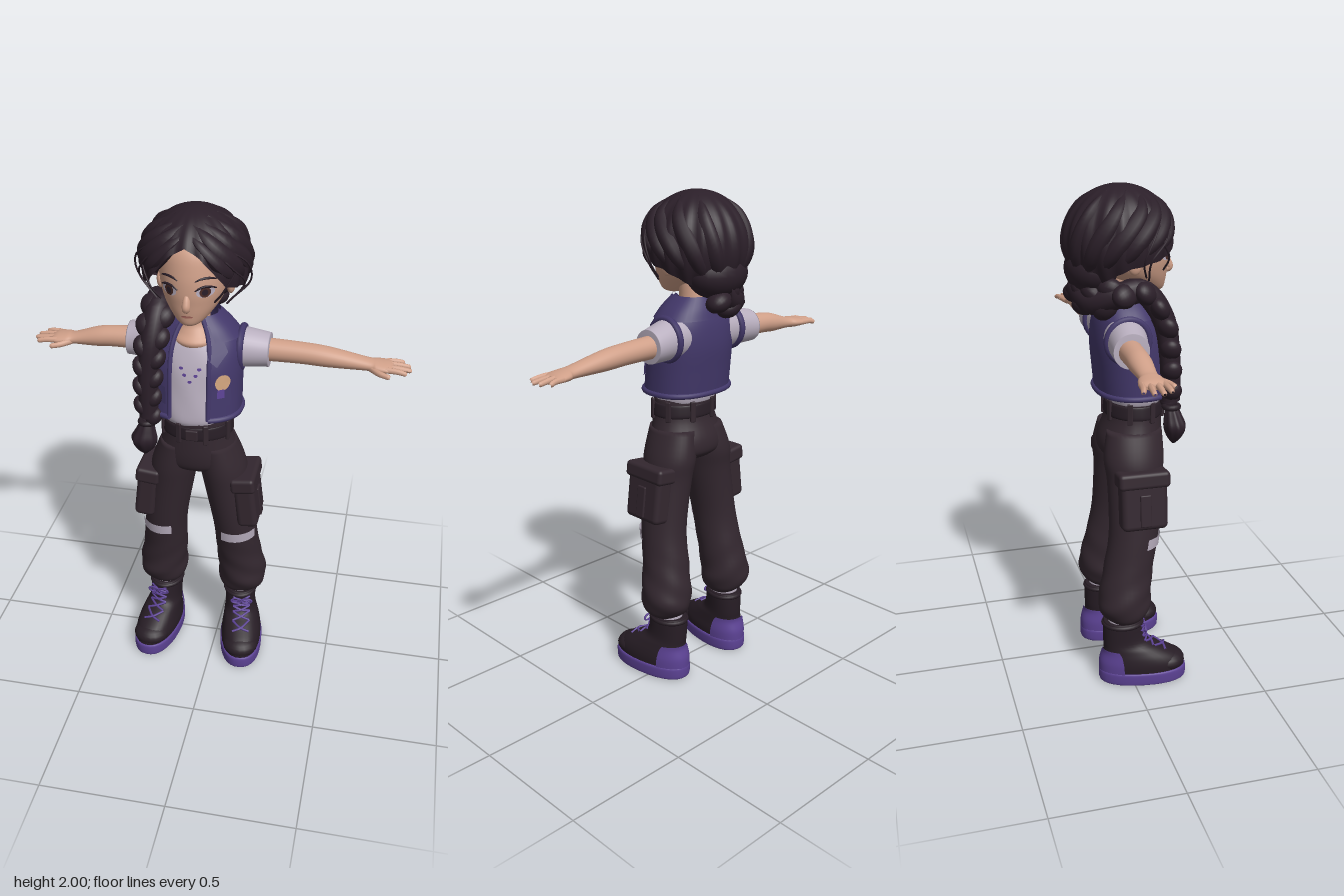
import * as THREE from 'three';
import { RoundedBoxGeometry } from 'three/addons/geometries/RoundedBoxGeometry.js';

const V = (x, y, z) => new THREE.Vector3(x, y, z);
const CX = -0.075; // body centre line

// rows are [height, centreX, centreZ, radiusX, radiusZ], ascending; returns them smoothly subdivided
function dense(rows, k = 5) {
  const out = [], at = i => rows[Math.max(0, Math.min(rows.length - 1, i))];
  for (let i = 0; i < rows.length - 1; i++) for (let j = 0; j < k; j++) {
    const t = j / k, [a, b, c, d] = [at(i - 1), at(i), at(i + 1), at(i + 2)];
    out.push(b.map((q, m) => q + 0.5 * t * (c[m] - a[m] + t * (2 * a[m] - 5 * q + 4 * c[m] - d[m] + t * (3 * (q - c[m]) + d[m] - a[m])))));
  }
  out.push(rows[rows.length - 1]);
  return out;
}

// grid of columns and rows, optionally closed around and capped at the ends
function grid(point, cols, rows, closed, caps) {
  const pos = [], idx = [], w = closed ? cols : cols + 1;
  for (let j = 0; j <= rows; j++) for (let i = 0; i < w; i++) pos.push(...point(i / cols, j));
  for (let j = 0; j < rows; j++) for (let i = 0; i < cols; i++) {
    const a = j * w + i, b = j * w + (i + 1) % w;
    idx.push(a, b, a + w, b, b + w, a + w);
  }
  if (caps) caps.forEach((c, e) => {
    const n = pos.length / 3, base = e ? rows * w : 0;
    pos.push(...c);
    for (let i = 0; i < w; i++) {
      const a = base + i, b = base + (i + 1) % w;
      e ? idx.push(a, b, n) : idx.push(b, a, n);
    }
  });
  const g = new THREE.BufferGeometry();
  g.setAttribute('position', new THREE.Float32BufferAttribute(pos, 3));
  g.setIndex(idx);
  g.computeVertexNormals();
  return g;
}

// stacked (super)elliptic sections; angle 0 faces +z
function loft(rows, { n = 32, p = 2, from = 0, to = Math.PI * 2, wave = () => 1 } = {}) {
  const d = dense(rows), closed = to - from > 6.28, pw = v => Math.sign(v) * Math.abs(v) ** (2 / p);
  const last = d[d.length - 1];
  return grid((u, j) => {
    const a = from + (to - from) * u, [y, cx, cz, rx, rz] = d[j], k = wave(a, y);
    return [cx + rx * k * pw(Math.sin(a)), y, cz + rz * k * pw(Math.cos(a))];
  }, n, d.length - 1, closed, closed && [[d[0][1], d[0][0], d[0][2]], [last[1], last[0], last[2]]]);
}

// front surface depth of a loft
function surfZ(rows, x, y, p = 2) {
  const d = dense(rows);
  let i = 0;
  while (i < d.length - 2 && d[i + 1][0] < y) i++;
  const t = (y - d[i][0]) / (d[i + 1][0] - d[i][0]);
  const [, cx, cz, rx, rz] = d[i].map((v, m) => v + (d[i + 1][m] - v) * t);
  return cz + rz * Math.max(0, 1 - Math.abs((x - cx) / rx) ** p) ** (1 / p);
}

// flat outline pressed onto the front of a loft
function drape(g, rows, p, off) {
  const q = g.attributes.position;
  for (let i = 0; i < q.count; i++) q.setZ(i, surfZ(rows, q.getX(i), q.getY(i), p) + off);
  g.computeVertexNormals();
  return g;
}
const disc = (x, y, rx, ry) => new THREE.CircleGeometry(1, 20).scale(rx, ry, 1).translate(x, y, 0);
const plate = pts => new THREE.ShapeGeometry(new THREE.Shape(pts.map(q => new THREE.Vector2(...q))));

// tube with a radius that changes along its length
function taper(points, radius, seg = 24, n = 10) {
  const c = new THREE.CatmullRomCurve3(points), g = new THREE.TubeGeometry(c, seg, 1, n), q = g.attributes.position;
  for (let j = 0; j <= seg; j++) {
    const o = c.getPointAt(j / seg), r = radius(j / seg);
    for (let i = 0; i <= n; i++) {
      const k = j * (n + 1) + i, v = V().fromBufferAttribute(q, k).sub(o).multiplyScalar(r).add(o);
      q.setXYZ(k, v.x, v.y, v.z);
    }
  }
  g.computeVertexNormals();
  return g;
}
const ball = (x, y, z, a, b, c) => new THREE.SphereGeometry(1, 20, 14).scale(a, b, c).translate(x, y, z);

export function createModel() {
  const model = new THREE.Group();
  const mat = (name, color, two) => {
    const m = new THREE.MeshStandardMaterial({ color, side: two ? THREE.DoubleSide : THREE.FrontSide });
    m.name = name;
    return m;
  };
  const skin = mat('skin', 0xcf9f88), lip = mat('lips', 0xa8695f), hair = mat('dark hair', 0x2b1f29, true),
    vest = mat('indigo vest', 0x423769, true), shirt = mat('pale shirt', 0xb9afbf, true), cloth = mat('trouser cloth', 0x33272f),
    leather = mat('boot leather', 0x271d25), purple = mat('purple trim', 0x5c4294), tan = mat('tan badge', 0xcfa27c), iris = mat('brown iris', 0x4b2c27);
  const add = (name, g, m, parent = model) => {
    const mesh = new THREE.Mesh(g, m);
    mesh.name = name;
    parent.add(mesh);
    return mesh;
  };
  const sides = [1, -1];

  // head and face
  const head = [[1.592, CX, .125, .015, .02], [1.605, CX, .113, .045, .054], [1.64, CX, .083, .08, .092], [1.68, CX, .05, .108, .13],
    [1.73, CX, .03, .126, .155], [1.8, CX, .01, .135, .17], [1.88, CX, 0, .125, .155], [1.94, CX, -.01, .06, .09]];
  add('head', loft(head, { n: 40 }), skin);
  add('nose', taper([V(CX, 1.735, .17), V(CX, 1.7, .186), V(CX, 1.678, .192), V(CX, 1.668, .175)], t => .006 + .009 * Math.sin(t * 2.6)), skin);
  add('mouth', drape(disc(CX, 1.641, .022, .005), head, 2, .004), lip);
  for (const s of sides) {
    const ex = CX + s * .066;
    add('ear', ball(CX + s * .132, 1.715, .02, .016, .035, .026), skin);
    add('eyeWhite', drape(disc(ex, 1.738, .03, .02), head, 2, .003), shirt);
    add('iris', drape(disc(ex, 1.739, .018, .02), head, 2, .005), iris);
    add('pupil', drape(disc(ex, 1.739, .01, .012), head, 2, .0065), hair);
    const arc = (w, y, h) => [-1, -.5, 0, .5, 1].map(u => {
      const x = ex + u * w, yy = y - h * u * u;
      return V(x, yy, surfZ(head, x, yy) + .004);
    });
    add('eyelash', taper(arc(.034, 1.76, .014), t => .002 + .003 * Math.sin(t * Math.PI), 12, 6), hair);
    add('eyebrow', taper(arc(.034, 1.791, .01), t => .002 + .003 * Math.sin(t * Math.PI), 12, 6), hair);
  }
  add('neck', loft([[1.44, CX, .01, .06, .06], [1.47, CX, .02, .075, .08], [1.5, CX, .03, .088, .085], [1.53, CX, .02, .07, .07],
    [1.57, CX, .012, .052, .057], [1.66, CX, .02, .05, .055]]), skin);

  // hair cap with a curtain fringe hairline that drops to the nape
  const line = [[0, 1.9], [.3, 1.87], [.58, 1.805], [.8, 1.75], [1.1, 1.735], [1.6, 1.715], [2.3, 1.65], [3.15, 1.61]];
  const hairline = a => {
    const i = Math.max(1, line.findIndex(q => q[0] >= a)), [p, q] = [line[i - 1], line[i]];
    return p[1] + (q[1] - p[1]) * (a - p[0]) / (q[0] - p[0]);
  };
  const onHair = (a, y, off = 0) => {
    const u = y > 1.79 ? Math.sqrt(Math.max(0, 1 - ((y - 1.79) / .208) ** 2)) : 1 - .38 * ((1.79 - y) / .18) ** 2;
    return V(-.08 + (.2 * u + off) * Math.sin(a), y, -.005 + (.212 * u + off) * Math.cos(a));
  };
  add('hairCap', grid((u, j) => {
    const a = (u * 2 - 1) * Math.PI, b = hairline(Math.abs(a));
    const y = b + (1.998 - b) * Math.sin(j / 20 * Math.PI / 2);
    return onHair(a, y, .005 * Math.cos(a * 18) * Math.min(1, (1.998 - y) * 8)).toArray();
  }, 108, 20, true), hair);
  add('hairBun', ball(-.08, 1.69, -.115, .135, .095, .1), hair);
  const swell = r => t => r * (.15 + .85 * Math.sin(Math.PI * Math.min(1, t * .92 + .04)));
  const locks = [[.05, .38, .75, 1.2, 1.935, 1.89, 1.82, 1.755, .03], [.1, .6, 1.05, 1.5, 1.96, 1.9, 1.82, 1.74, .036], [.3, .95, 1.5, 2.1, 1.97, 1.9, 1.8, 1.68, .036],
    [.8, 1.35, 1.9, 2.5, 1.975, 1.9, 1.78, 1.66, .036], [1.5, 1.9, 2.3, 2.8, 1.975, 1.9, 1.77, 1.64, .036], [2.4, 2.5, 2.7, 2.98, 1.975, 1.9, 1.77, 1.63, .034]];
  for (const s of sides) {
    for (const k of locks) add('hairLock', taper([0, 1, 2, 3].map(i => onHair(s * k[i], k[i + 4], -.017)), swell(k[8])), hair);
    // loose flyaway strands
    [[.9, 1.25, .012], [1.25, 1.4, .02], [1.0, .75, .004]].forEach(([a, b, off], i) => add('looseStrand', taper([onHair(s * a * .6, 1.9, .005),
      onHair(s * a, 1.82, off), onHair(s * b, 1.74, off), onHair(s * b * .85, 1.66 + i * .015, -.01)], () => .0038, 20, 5), hair));
  }

  // braid over the right shoulder
  const braid = new THREE.CatmullRomCurve3([V(-.05, 1.62, -.16), V(-.15, 1.58, -.13), V(-.21, 1.61, -.04), V(-.212, 1.62, .05),
    V(-.222, 1.52, .125), V(-.235, 1.38, .148), V(-.238, 1.2, .155)]);
  add('braidCore', taper(braid.points, t => .052 - .014 * t, 40), hair);
  const lobes = 20;
  for (let i = 0; i < lobes; i++) {
    const t = i / (lobes - 1), o = braid.getPointAt(t), d = braid.getTangentAt(t), s = i % 2 ? 1 : -1, k = 1 - .25 * t;
    const across = V(1, 0, 0).addScaledVector(d, -d.x).normalize();
    if (t < .3) across.copy(V(0, 1, 0).addScaledVector(d, -d.y).normalize());
    const lobe = add('braidLobe', ball(0, 0, 0, .04 * k, .056 * k, .05 * k), hair);
    lobe.position.copy(o).addScaledVector(across, s * .03 * k);
    lobe.quaternion.setFromUnitVectors(V(0, 1, 0), d.clone().addScaledVector(across, -s * .7).normalize());
  }
  add('braidTie', new THREE.TorusGeometry(.026, .012, 8, 20).rotateX(Math.PI / 2).translate(-.244, 1.175, .158), leather);
  add('braidTassel', loft([[1.03, -.255, .165, .006, .006], [1.06, -.255, .167, .034, .028], [1.1, -.256, .168, .05, .042], [1.14, -.25, .163, .038, .034],
    [1.18, -.243, .157, .022, .022]], { wave: a => 1 + .06 * Math.cos(a * 8) }), hair);

  // shirt body and printed leaves
  const body = [[1.17, CX, .052, .132, .108], [1.2, CX, .052, .14, .115], [1.3, CX, .04, .148, .115], [1.4, CX, .028, .15, .112],
    [1.47, CX, .018, .145, .098], [1.51, CX, .01, .115, .082], [1.54, CX, .005, .075, .06]];
  add('shirtBody', loft(body, { wave: (a, y) => 1 + .008 * Math.sin(a * 7 + y * 30) }), shirt);
  for (const [x, y] of [[-.022, 1.385], [.022, 1.385], [0, 1.36], [-.035, 1.41], [.035, 1.41]])
    add('shirtPrint', drape(disc(CX + x, y, .008, .006), body, 2, .004), purple);

  // vest, open at the front
  const coat = [[1.215, CX, .045, .182, .143], [1.3, CX, .036, .182, .142], [1.4, CX, .026, .182, .14], [1.48, CX, .016, .175, .122],
    [1.54, CX, .008, .142, .095], [1.59, CX, .002, .08, .068]];
  const gap = .37, P = 2.3;
  add('vestBody', loft(coat, { n: 56, p: P, from: gap, to: Math.PI * 2 - gap }), vest);
  const pw = v => Math.sign(v) * Math.abs(v) ** (2 / P);
  const rim = (a, [y, cx, cz, rx, rz]) => V(cx + rx * pw(Math.sin(a)), y, cz + rz * pw(Math.cos(a)));
  const hem = [];
  for (let i = 0; i <= 30; i++) hem.push(rim(gap + (Math.PI * 2 - 2 * gap) * i / 30, coat[0]));
  add('vestHem', taper(hem, () => .011, 60, 8), vest);
  add('vestCollar', loft([[1.515, CX, .008, .172, .122], [1.555, CX, .005, .138, .106], [1.6, CX, 0, .088, .08]], { p: P, from: .5, to: Math.PI * 2 - .5 }), vest);
  for (const s of sides) {
    const flip = pts => pts.map(([x, y]) => [CX + s * x, y]);
    add('vestPlacket', taper(coat.map(r => rim(s * gap, r)), () => .009, 24, 8), vest);
    add('lapel', drape(plate(flip([[.05, 1.57], [.1, 1.55], [.14, 1.48], [.105, 1.43], [.068, 1.46]])), coat, P, .01), vest);
    add('chestPocket', drape(plate(flip([[.09, 1.27], [.155, 1.27], [.155, 1.34], [.09, 1.34]])), coat, P, .009), vest);
    add('armholeTrim', new THREE.TorusGeometry(.08, .014, 8, 32).rotateY(Math.PI / 2).translate(CX + s * .172, 1.445, -.015), vest);
  }
  add('pocketTab', drape(plate([[.035, 1.31], [.06, 1.31], [.06, 1.345], [.035, 1.345]]), coat, P, .015), purple);
  add('badge', drape(disc(.052, 1.37, .026, .031), coat, P, .012), tan);

  // sleeves, arms and hands
  for (const s of sides) {
    const limb = (name, rows, m) => add(name, loft(rows.map(([x, dy, z, a, b]) => [x, -s * dy, z, a, b])).rotateZ(-s * Math.PI / 2).translate(0, 1.435, 0), m);
    const shoulder = s * CX + .1, cuff = s * CX + .278, span = .575 - cuff;
    limb('sleeve', [[shoulder, .01, -.012, .085, .08], [shoulder + .07, .01, -.018, .08, .077], [cuff - .03, .003, -.028, .07, .07], [cuff, 0, -.03, .066, .068]], shirt);
    limb('arm', [[cuff - .06, 0, -.033, .046, .046], [cuff + span * .3, -.003, -.034, .042, .044], [cuff + span * .6, -.01, -.034, .039, .043],
      [.575, -.024, -.034, .024, .035], [.61, -.027, -.036, .022, .046], [.65, -.029, -.038, .018, .05], [.672, -.03, -.038, .01, .043]], skin);
    const finger = (name, pts, r) => add(name, taper(pts.map(q => V(s * q[0], q[1], q[2])), t => r * (t > .97 ? .35 : t > .9 ? .75 : 1 - .25 * t), 16, 8), skin);
    [[-.078, -.09, .712], [-.052, -.058, .737], [-.026, -.026, .742], [-.002, .006, .725]].forEach(([z0, z1, tip]) =>
      finger('finger', [[.645, 1.407, z0], [.69, 1.406, (z0 + z1) / 2], [tip, 1.4, z1]], .0125));
    finger('thumb', [[.59, 1.404, -.012], [.625, 1.4, .02], [.665, 1.396, .036]], .0135);
  }

  // hips and belt
  const hips = [[.935, CX + .009, .03, .13, .085], [.965, CX + .009, .032, .172, .118], [1.02, CX + .009, .038, .163, .125], [1.1, CX + .009, .052, .138, .112], [1.185, CX + .009, .055, .127, .106]];
  const HX = -.066;
  add('hips', loft(hips), cloth);
  add('belt', loft([[1.11, HX, .053, .14, .114], [1.12, HX, .053, .142, .117], [1.155, HX, .054, .137, .114], [1.163, HX, .054, .134, .111]]), leather);
  for (let i = 0; i < 8; i++) {
    const a = (i + .5) * Math.PI / 4;
    const loop = add('beltLoop', new RoundedBoxGeometry(.022, .085, .012, 2, .004), cloth);
    loop.position.set(HX + .141 * Math.sin(a), 1.137, .053 + .117 * Math.cos(a));
    loop.rotation.y = a;
  }
  add('buckle', new RoundedBoxGeometry(.05, .045, .014, 2, .005).translate(HX, 1.137, .171), cloth);

  // trouser legs, pockets, knee strips and boots
  for (const s of sides) {
    const leg = [[.275, .17, -.025, .066, .062], [.3, .174, -.025, .09, .088], [.345, .176, -.026, .102, .106], [.4, .173, -.022, .1, .105], [.5, .16, -.006, .093, .1],
      [.65, .146, .02, .088, .1], [.85, .114, .032, .092, .11], [.95, .098, .032, .094, .12], [1.06, .075, .04, .075, .11]].map(([y, x, z, a, b]) => [y, HX + s * x, z, a, b]);
    const fold = (a, y) => 1 + Math.max(0, .62 - y) * .1 * Math.sin(a * 3 * s + y * 55);
    add('trouserLeg', loft(leg, { n: 36, wave: fold }), cloth);
    const kx = HX + s * .148;
    add('kneeStrip', loft([[.6, kx, .013, .096, .107], [.622, kx, .016, .096, .107], [.645, kx, .019, .096, .107]],
      s > 0 ? { n: 16, from: -.45, to: 1.2 } : { n: 16, from: -1.2, to: .45 }), shirt);
    const cargo = new THREE.Group();
    cargo.name = 'cargoPocket';
    cargo.position.set(HX + s * .205, .81, .04);
    cargo.rotation.z = s * .12;
    model.add(cargo);
    add('pocketBag', new RoundedBoxGeometry(.085, .215, .185, 3, .022).translate(0, -.01, 0), cloth, cargo);
    add('pocketFlap', new RoundedBoxGeometry(.1, .065, .205, 3, .016).translate(0, .085, 0), cloth, cargo);
    add('pocketPleat', new RoundedBoxGeometry(.012, .13, .045, 2, .005).translate(s * .044, -.035, 0), cloth, cargo);
    add('sock', loft([[.24, HX + s * .167, -.03, .055, .062], [.29, HX + s * .167, -.03, .055, .062]]), shirt);

    const boot = new THREE.Group();
    boot.name = 'boot';
    boot.position.set(HX + s * .175, 0, -.03);
    boot.rotation.y = s * .14;
    model.add(boot);
    const upper = [[.03, 0, .08, .084, .172], [.075, 0, .08, .087, .173], [.11, 0, .068, .082, .155], [.145, -s * .003, .04, .074, .12], [.18, -s * .006, .008, .066, .09], [.26, -s * .008, -.002, .066, .08], [.268, -s * .008, -.002, .058, .07]];
    add('bootUpper', loft(upper, { p: 2.2 }), leather, boot);
    add('bootSole', loft([[0, 0, .08, .084, .172], [.008, 0, .08, .09, .18], [.045, 0, .08, .092, .181], [.055, 0, .08, .088, .176]], { p: 2.3 }), purple, boot);
    add('heelCounter', loft([[.05, 0, .078, .09, .178], [.09, 0, .073, .09, .172], [.13, 0, .05, .082, .138], [.15, 0, .03, .076, .118]], { p: 2.2, from: 2, to: Math.PI * 2 - 2 }), purple, boot);
    add('toeCap', ball(0, .075, .18, .076, .045, .076), leather, boot);
    add('bootCuff', new THREE.TorusGeometry(.064, .01, 8, 28).rotateX(Math.PI / 2).scale(1, 1, 1.18).translate(-s * .008, .255, -.002), leather, boot);
    for (let i = 0; i < 5; i++) for (const d of sides) {
      const pts = [-1, 0, 1].map(u => {
        const x = u * .036, y = .145 + i * .023 + u * d * .011;
        return V(x, y, surfZ(upper, x, y, 2.2) + .004);
      });
      add('lace', taper(pts, () => .005, 10, 6), purple, boot);
    }
    for (const d of sides) add('laceBow', new THREE.TorusGeometry(.018, .0045, 6, 16).scale(1.2, .7, 1).translate(d * .022, .235, .088), purple, boot);
  }
  return model;
}
